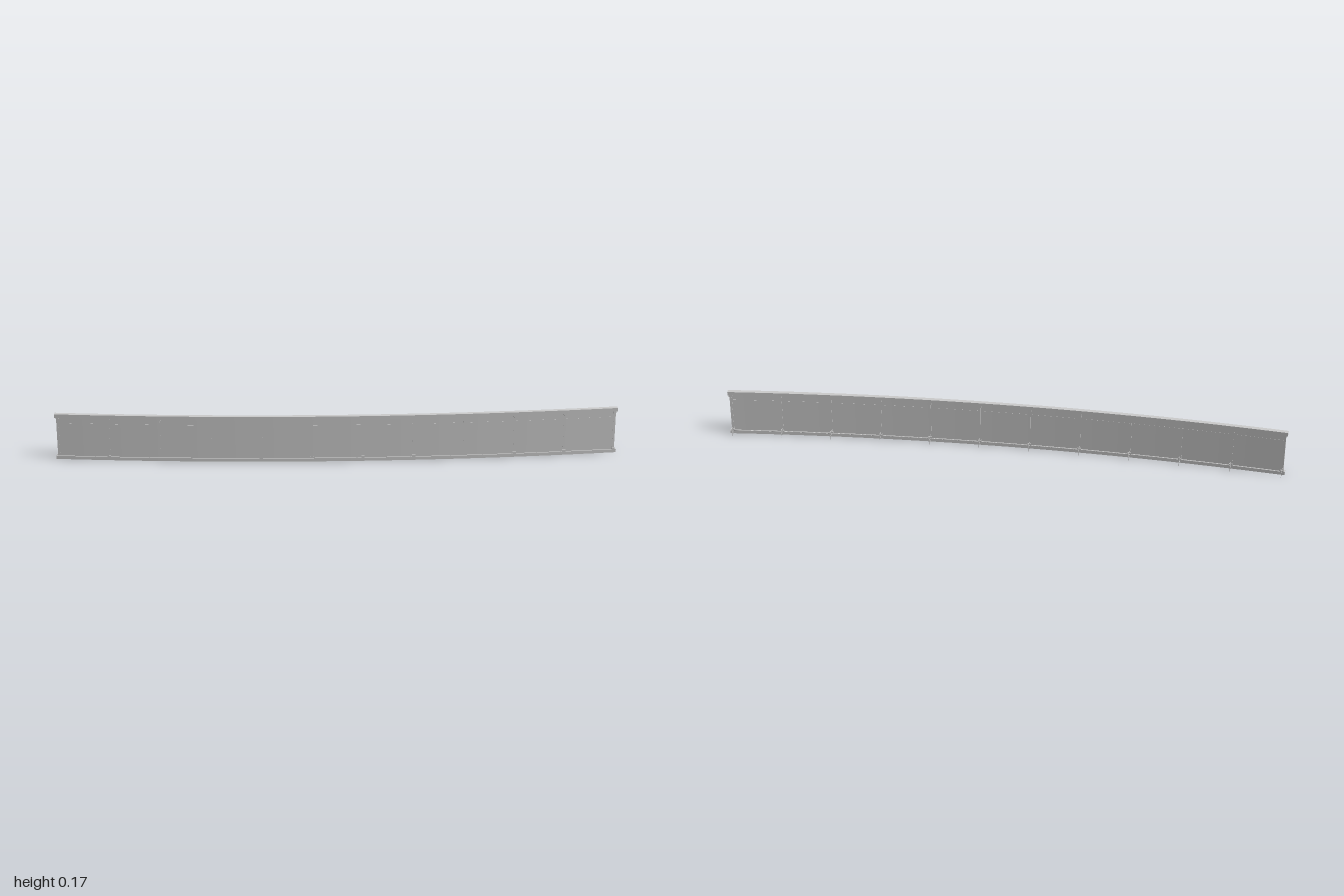
import * as THREE from 'three';

const R = 9.6;              // radius of the outer face
const FRONT = 0.045;        // z of the outer face at mid span
const BAYS = 11;
const POST_ANGLE = Math.asin(0.99 / R);
const RAIL_ANGLE = Math.asin(1 / R);

export function createModel() {
  const group = new THREE.Group();
  group.name = 'curvedBarrier';
  const material = new THREE.MeshStandardMaterial({ color: 0xcccccc });

  // Point on the arc, a given depth behind the outer face
  const arcPoint = (angle, depth, y = 0) => new THREE.Vector3(
    (R - depth) * Math.sin(angle), y, FRONT - R + (R - depth) * Math.cos(angle));

  const add = (name, geometry, parent = group) => {
    const mesh = new THREE.Mesh(geometry, material);
    mesh.name = name;
    parent.add(mesh);
    return mesh;
  };

  // Solid curved strip between two angles, two depths and two heights
  const strip = (name, a0, a1, d0, d1, y0, y1, segments) => {
    const outline = [];
    for (let i = 0; i <= segments; i++) {
      const p = arcPoint(a0 + (a1 - a0) * i / segments, d0);
      outline.push(new THREE.Vector2(p.x, -p.z));
    }
    for (let i = segments; i >= 0; i--) {
      const p = arcPoint(a0 + (a1 - a0) * i / segments, d1);
      outline.push(new THREE.Vector2(p.x, -p.z));
    }
    const g = new THREE.ExtrudeGeometry(new THREE.Shape(outline), { depth: y1 - y0, bevelEnabled: false });
    g.rotateX(-Math.PI / 2);
    g.translate(0, y0, 0);
    return add(name, g);
  };

  // Continuous rails
  strip('bottomRail', -RAIL_ANGLE, RAIL_ANGLE, 0, 0.016, 0, 0.012, 44);
  strip('topRail', -RAIL_ANGLE, RAIL_ANGLE, 0, 0.016, 0.157, 0.17, 44);

  const step = 2 * POST_ANGLE / BAYS;

  // Infill panels with a slimmer strip above
  for (let i = 0; i < BAYS; i++) {
    const a = -POST_ANGLE + i * step;
    strip('panel', a, a + step, 0.0045, 0.0105, 0.012, 0.136, 4);
    strip('upperPanel', a, a + step, 0.005, 0.01, 0.136, 0.157, 4);
  }

  // Posts with sockets, and the light wire bracket behind each
  const WIRE = 0.0012;
  for (let i = 0; i <= BAYS; i++) {
    const a = -POST_ANGLE + i * step;
    const unit = new THREE.Group();
    unit.name = 'postUnit';
    unit.position.copy(arcPoint(a, 0));
    unit.rotation.y = a;
    group.add(unit);
    const box = (name, w, d0, d1, y0, y1) => {
      const g = new THREE.BoxGeometry(w, y1 - y0, d1 - d0);
      g.translate(0, (y0 + y1) / 2, -(d0 + d1) / 2);
      add(name, g, unit);
    };
    box('post', 0.008, 0.004, 0.013, 0.012, 0.157);
    box('upperSocket', 0.012, 0.002, 0.016, 0.151, 0.157);
    box('lowerSocket', 0.012, 0.002, 0.016, 0.012, 0.018);
    for (const d of [0.02, 0.038]) box('bracketUpright', WIRE, d - WIRE, d, 0, 0.026);
    for (const y of [0.014, 0.026]) box('bracketArm', WIRE, 0.013, 0.038, y - WIRE, y);
  }

  // Thin line strung along the back of the brackets
  const line = [];
  for (let i = 0; i <= BAYS; i++) line.push(arcPoint(-POST_ANGLE + i * step, 0.0374, 0.0254));
  add('rearLine', new THREE.TubeGeometry(new THREE.CatmullRomCurve3(line), 44, 0.0006, 6));

  return group;
}
